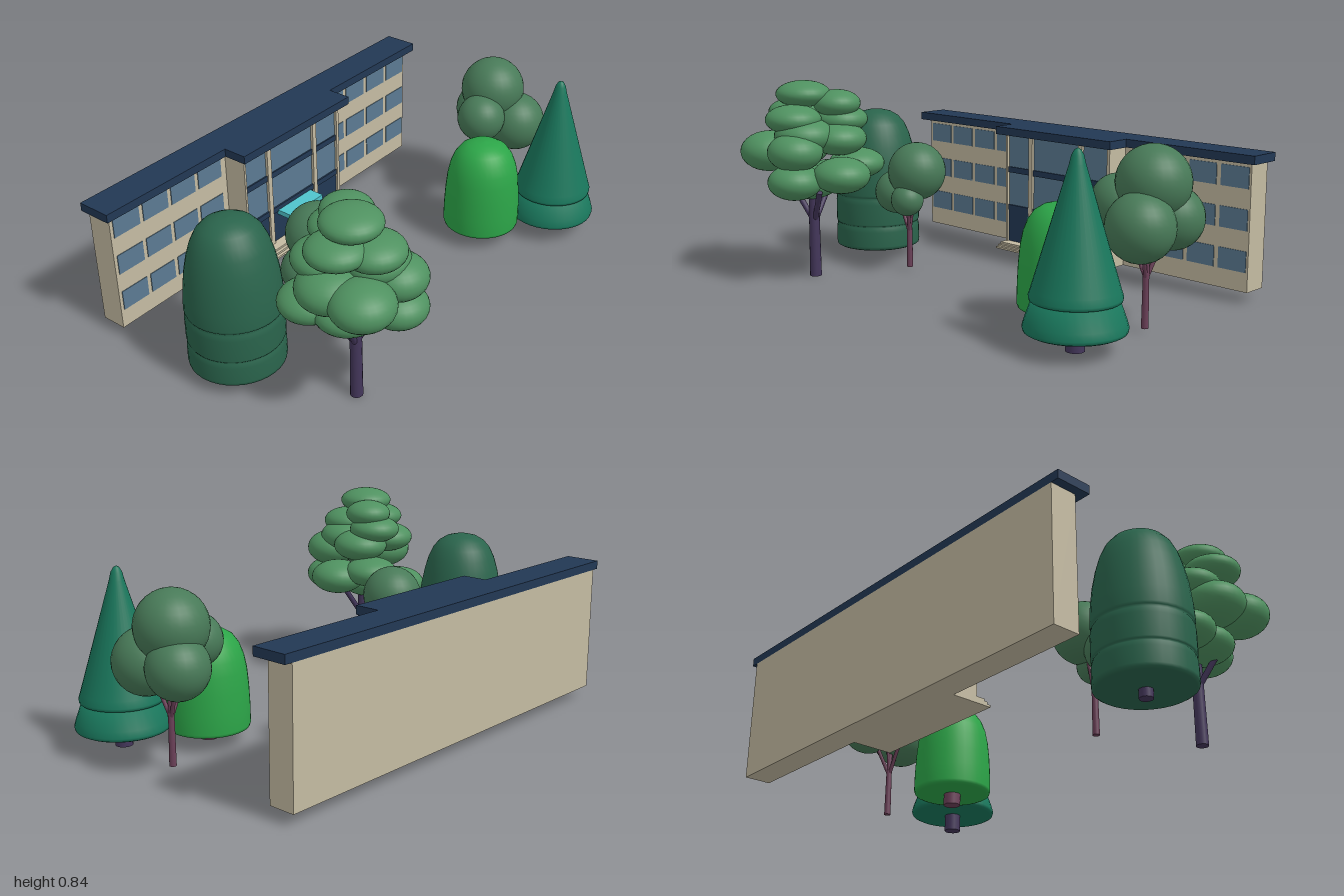
import * as THREE from 'three';

const mat = (color, side = THREE.FrontSide) => new THREE.MeshStandardMaterial({ color, side });
const wall = mat(0xc4bba2), navy = mat(0x223854), glass = mat(0x5b7a92), cyan = mat(0x4fc3cc);
const barkPurple = mat(0x43365a), barkRed = mat(0x6b4058);
const leafDark = mat(0x2a644c), leafBright = mat(0x2ca548), leafPine = mat(0x19775c);
const leafBroad = mat(0x4f9160), leafRound = mat(0x487a58);

function add(parent, name, geometry, material) {
  const mesh = new THREE.Mesh(geometry, material);
  mesh.name = name;
  parent.add(mesh);
  return mesh;
}

// Box given by its limits on each axis
function box(parent, name, material, [x0, x1], [y0, y1], [z0, z1]) {
  const mesh = add(parent, name, new THREE.BoxGeometry(x1 - x0, y1 - y0, z1 - z0), material);
  mesh.position.set((x0 + x1) / 2, (y0 + y1) / 2, (z0 + z1) / 2);
  return mesh;
}

// Tapered limb between two points
function limb(parent, name, material, from, to, r0, r1 = r0) {
  const a = new THREE.Vector3(...from), b = new THREE.Vector3(...to);
  const dir = b.clone().sub(a);
  const mesh = add(parent, name, new THREE.CylinderGeometry(r1, r0, dir.length(), 14), material);
  mesh.position.copy(a).add(b).multiplyScalar(0.5);
  mesh.quaternion.setFromUnitVectors(new THREE.Vector3(0, 1, 0), dir.normalize());
}

// Foliage ball; a flattened one when ry differs from r
function ball(parent, material, x, y, z, r, ry = r) {
  const mesh = add(parent, 'foliage', new THREE.SphereGeometry(r, 28, 18), material);
  mesh.scale.y = ry / r;
  mesh.position.set(x, y, z);
}

// Turned foliage from [radius, height] points
function turned(parent, name, material, points) {
  const profile = points.map(([r, y]) => new THREE.Vector2(r, y));
  return add(parent, name, new THREE.LatheGeometry(profile, 36), material);
}

function createBuilding() {
  const g = new THREE.Group();
  g.name = 'building';
  const back = -0.655, base = 0.045, eaves = 0.565, top = 0.6;
  const front = -0.545, hallFront = -0.44, hall = [-0.27, 0.335];

  // Long wing, hall core and their roofs
  box(g, 'wing', wall, [back, front], [base, eaves], [-0.892, 0.957]);
  box(g, 'wingRoof', navy, [back, -0.51], [eaves, top], [-0.925, 0.99]);
  box(g, 'hall', wall, [front, -0.462], [base, eaves], hall);
  box(g, 'hallRoof', navy, [-0.51, -0.405], [eaves, top], [-0.3, 0.365]);

  // Three rows of four windows on either side of the hall
  for (let row = 0; row < 3; row++) {
    for (let col = 0; col < 4; col++) {
      const y = 0.125 + row * 0.168;
      for (const z of [-0.43 - col * 0.151, 0.365 + col * 0.149]) {
        box(g, 'window', glass, [front - 0.01, front + 0.003], [y, y + 0.086], [z, z + 0.13]);
      }
    }
  }

  // Hall front: pillars, glazing and dark panels between them
  const pillars = [[-0.27, -0.255], [-0.117, -0.094], [0.173, 0.196], [0.325, 0.335]];
  pillars.forEach(z => box(g, 'pillar', wall, [-0.47, hallFront], [base, eaves], z));
  for (let i = 0; i < 3; i++) {
    const z = [pillars[i][1], pillars[i + 1][0]];
    box(g, 'hallGlass', glass, [-0.47, -0.452], [0.22, eaves], z);
    box(g, 'floorBand', navy, [-0.47, -0.446], [0.39, 0.416], z);
    box(g, 'entrancePanel', navy, [-0.47, -0.45], [0.07, 0.22], z);
    box(g, 'entranceLintel', navy, [-0.47, -0.445], [0.215, 0.24], z);
  }

  // Entrance canopy and steps
  box(g, 'canopy', cyan, [-0.465, -0.375], [0.199, 0.221], [-0.072, 0.14]);
  for (let i = 0; i < 3; i++) {
    box(g, 'step', wall, [-0.465, -0.375 - i * 0.014], [base + i * 0.0085, base + (i + 1) * 0.0085], hall);
  }
  return g;
}

// Broad bush with overlapping skirts
function createTieredBush() {
  const g = new THREE.Group();
  g.name = 'tieredBush';
  limb(g, 'trunk', barkPurple, [0, 0.013, 0], [0, 0.06, 0], 0.027);
  turned(g, 'crown', leafDark, [
    [0, 0.047], [0.178, 0.047], [0.188, 0.053], [0.19, 0.065], [0.189, 0.13], [0.185, 0.15], [0.181, 0.156],
    [0.186, 0.158], [0.189, 0.165], [0.189, 0.255], [0.186, 0.277], [0.181, 0.285],
    [0.186, 0.288], [0.189, 0.298], [0.186, 0.36], [0.177, 0.44], [0.163, 0.51], [0.147, 0.565],
    [0.126, 0.61], [0.1, 0.64], [0.066, 0.66], [0.033, 0.668], [0, 0.67]]);
  g.position.set(-0.07, 0, 0.805);
  return g;
}

function createDomeBush() {
  const g = new THREE.Group();
  g.name = 'domeBush';
  limb(g, 'trunk', barkRed, [0, 0.013, 0], [0, 0.08, 0], 0.036);
  turned(g, 'crown', leafBright, [
    [0, 0.062], [0.15, 0.062], [0.162, 0.066], [0.166, 0.078], [0.165, 0.15], [0.161, 0.23], [0.154, 0.3],
    [0.144, 0.35], [0.127, 0.395], [0.102, 0.43], [0.07, 0.45], [0.035, 0.459], [0, 0.462]]);
  g.position.set(0.155, 0, -0.535);
  return g;
}

function createConifer() {
  const g = new THREE.Group();
  g.name = 'conifer';
  limb(g, 'trunk', barkPurple, [0, 0, 0], [0, 0.1, 0], 0.035);
  turned(g, 'lowerSkirt', leafPine, [
    [0, 0.072], [0.172, 0.072], [0.184, 0.078], [0.187, 0.09], [0.18, 0.115], [0.146, 0.21], [0, 0.21]]);
  turned(g, 'upperCone', leafPine, [
    [0, 0.183], [0.15, 0.183], [0.164, 0.188], [0.166, 0.2], [0.158, 0.225], [0.029, 0.66],
    [0.022, 0.69], [0.012, 0.708], [0, 0.715]]);
  g.position.set(0.365, 0, -0.79);
  return g;
}

// Large tree with flattened leaf clusters
function createBroadTree() {
  const g = new THREE.Group();
  g.name = 'broadTree';
  limb(g, 'trunk', barkPurple, [0.395, 0, 0.665], [0.395, 0.42, 0.665], 0.025, 0.021);
  const tips = [[0.28, 0.39, 0.70], [0.43, 0.38, 0.575], [0.43, 0.38, 0.755]];
  tips.forEach(p => limb(g, 'branch', barkPurple, [0.393, 0.235, 0.665], p, 0.012));
  const clusters = [
    [0.41, 0.785, 0.70, 0.115, 0.056], [0.31, 0.745, 0.60, 0.1, 0.058], [0.485, 0.685, 0.67, 0.117, 0.062],
    [0.28, 0.675, 0.61, 0.112, 0.06], [0.40, 0.705, 0.77, 0.115, 0.058], [0.38, 0.55, 0.78, 0.13, 0.085],
    [0.525, 0.545, 0.79, 0.122, 0.085], [0.25, 0.49, 0.55, 0.118, 0.065], [0.245, 0.41, 0.74, 0.12, 0.07],
    [0.39, 0.405, 0.70, 0.13, 0.072], [0.535, 0.435, 0.60, 0.113, 0.075], [0.385, 0.46, 0.48, 0.12, 0.075],
    [0.46, 0.62, 0.63, 0.125, 0.075], [0.53, 0.56, 0.60, 0.115, 0.08], [0.33, 0.60, 0.57, 0.12, 0.07],
    [0.31, 0.62, 0.73, 0.12, 0.065]];
  clusters.forEach(c => ball(g, leafBroad, ...c));
  return g;
}

// Slim tree with round leaf balls, a branch running to each
function createRoundTree(name, x, z, fork, balls) {
  const g = new THREE.Group();
  g.name = name;
  limb(g, 'trunk', barkRed, [x, 0.015, z], [x, fork + 0.1, z], 0.014, 0.011);
  for (const b of balls) {
    limb(g, 'branch', barkRed, [x, fork, z], b.slice(0, 3), 0.008);
    ball(g, leafRound, ...b);
  }
  return g;
}

export function createModel() {
  const model = new THREE.Group();
  model.name = 'schoolWithTrees';
  model.add(createBuilding(), createTieredBush(), createDomeBush(), createConifer(), createBroadTree());
  model.add(createRoundTree('smallRoundTree', 0.045, 0.45, 0.17, [
    [0.02, 0.44, 0.425, 0.125], [0.045, 0.34, 0.53, 0.095], [0.09, 0.325, 0.41, 0.07]]));
  model.add(createRoundTree('tallRoundTree', 0.025, -0.83, 0.2, [
    [0, 0.555, -0.835, 0.14], [-0.07, 0.42, -0.87, 0.12], [0.11, 0.41, -0.865, 0.13], [0.03, 0.47, -0.70, 0.105]]));
  return model;
}
